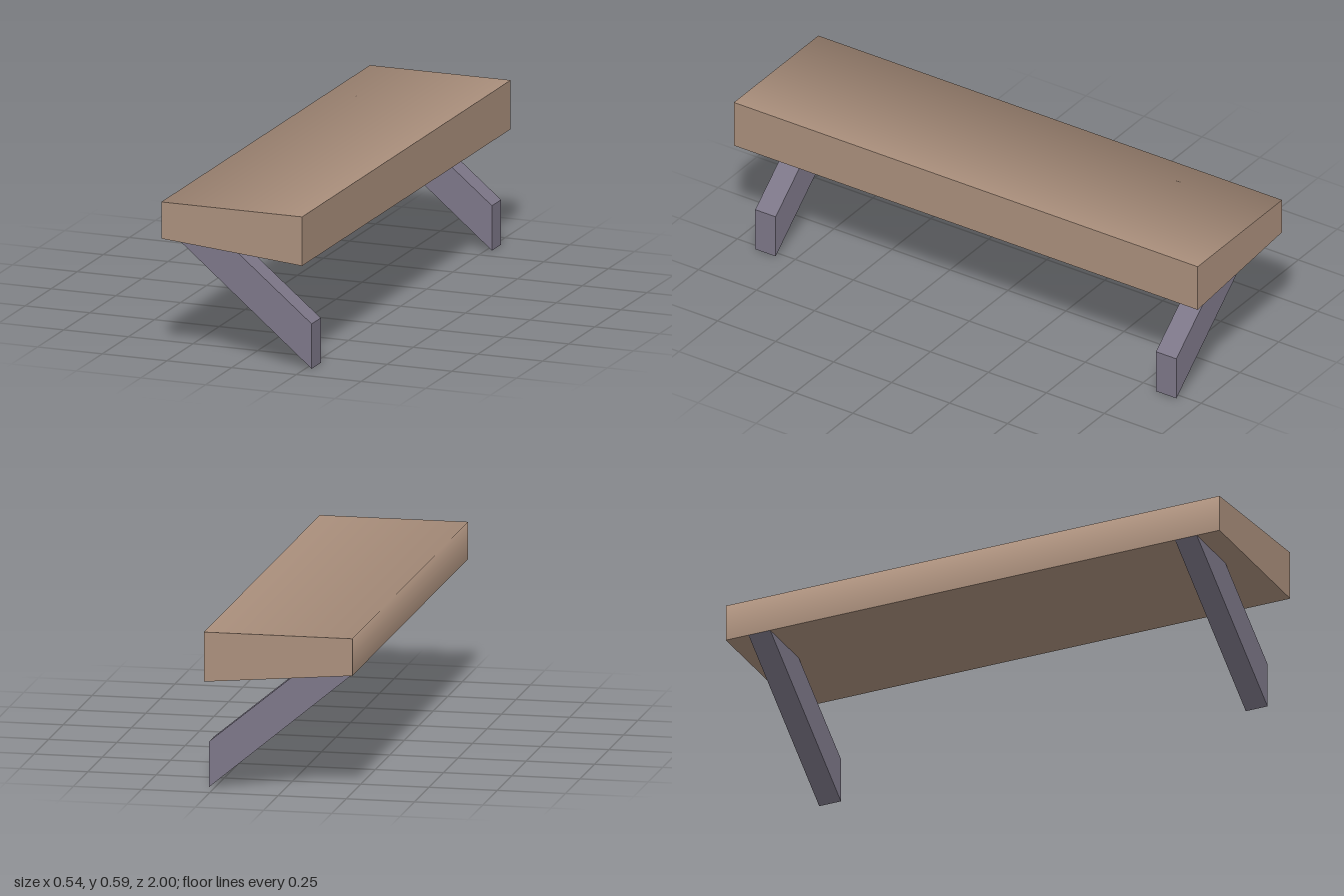
import * as THREE from 'three';

const wood = new THREE.MeshStandardMaterial({ color: 0xaa8f7c });
wood.name = 'brown wood';
const metal = new THREE.MeshStandardMaterial({ color: 0x7d7788 });
metal.name = 'grey bracket';

// Extrudes an x/y outline along z, centred on the given z
function slab(name, outline, depth, z, material) {
  const shape = new THREE.Shape(outline.map(([x, y]) => new THREE.Vector2(x, y)));
  const geometry = new THREE.ExtrudeGeometry(shape, { depth, bevelEnabled: false });
  geometry.translate(0, 0, z - depth / 2);
  const mesh = new THREE.Mesh(geometry, material);
  mesh.name = name;
  return mesh;
}

// Shades the edge between the top and the rear long side as one soft bend
function softenEdge(geometry, x, y) {
  const { position, normal } = geometry.attributes;
  for (let i = 0; i < position.count; i++) {
    const onEdge = Math.abs(position.getX(i) - x) < 1e-4 && Math.abs(position.getY(i) - y) < 1e-4;
    if (onEdge && Math.abs(normal.getZ(i)) < 0.5) normal.setXYZ(i, -Math.SQRT1_2, Math.SQRT1_2, 0);
  }
}

export function createModel() {
  const group = new THREE.Group();
  group.name = 'shelf';

  // Wedge-shaped board, deeper along +x
  const board = slab('shelfBoard',
    [[-0.272, 0.452], [0.272, 0.406], [0.272, 0.588], [-0.272, 0.588]], 2, 0, wood);
  softenEdge(board.geometry, -0.272, 0.588);
  group.add(board);

  // Slanted brackets under both ends
  for (const [name, side] of [['frontBracket', 1], ['backBracket', -1]]) {
    group.add(slab(name,
      [[-0.272, 0.452], [0.272, 0], [0.272, 0.167], [-0.051, 0.433]], 0.088, side * 0.864, metal));
  }
  return group;
}
